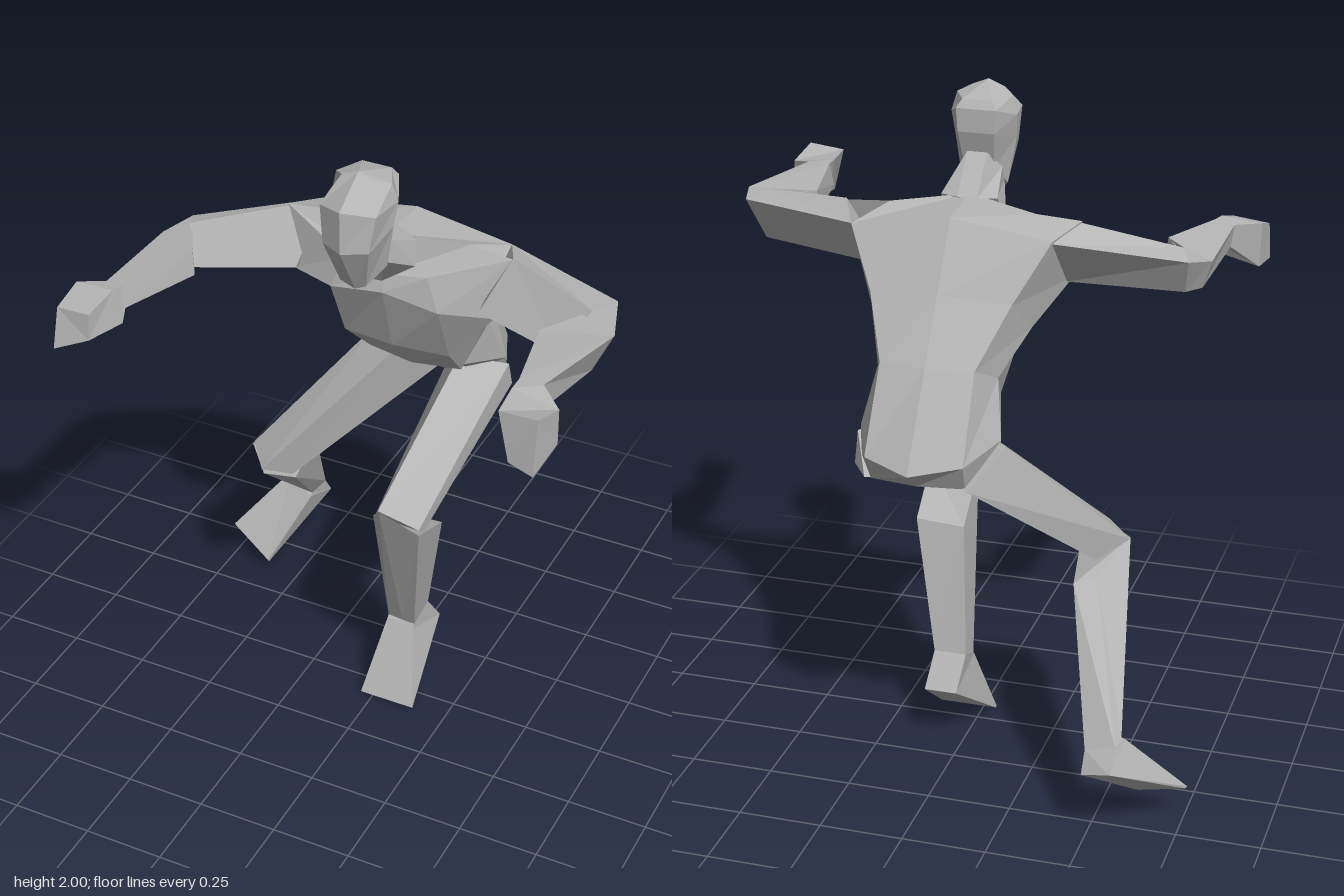
import * as THREE from 'three';

const skin = new THREE.MeshStandardMaterial({ color: 0xb4b4b4, flatShading: true });
skin.name = 'plain grey';

// Skin a closed, faceted body over a list of cross-section rings
function loft(name, rings) {
  const n = rings[0].length;
  const pos = rings.flat(2);
  const idx = [];
  for (let r = 0; r < rings.length - 1; r++) {
    for (let i = 0; i < n; i++) {
      const j = (i + 1) % n, a = r * n + i, b = r * n + j;
      idx.push(a, b, b + n, a, b + n, a + n);
    }
  }
  const last = (rings.length - 1) * n;
  for (let i = 1; i < n - 1; i++) {
    idx.push(0, i + 1, i, last, last + i, last + i + 1);
  }
  // Turn the faces outward if the signed volume is negative
  const p = (i) => new THREE.Vector3().fromArray(pos, idx[i] * 3);
  let volume = 0;
  for (let i = 0; i < idx.length; i += 3) volume += p(i).dot(p(i + 1).cross(p(i + 2)));
  if (volume < 0) idx.reverse();

  let geo = new THREE.BufferGeometry();
  geo.setAttribute('position', new THREE.Float32BufferAttribute(pos, 3));
  geo.setIndex(idx);
  geo = geo.toNonIndexed();
  geo.computeVertexNormals();
  const mesh = new THREE.Mesh(geo, skin);
  mesh.name = name;
  return mesh;
}

// Complete a half ring (front to back) by mirroring it about the body's middle
const MID = 0.03;
const mirrorRing = (half) => [
  ...half.map(([x, y, z]) => [MID + x, y, z]),
  ...half.filter(([x]) => x > 0).reverse().map(([x, y, z]) => [MID - x, y, z]),
];

export function createModel() {
  const model = new THREE.Group();
  model.name = 'crouchingFigure';
  const add = (name, rings) => model.add(loft(name, rings));

  // Torso, from the crotch up to the shoulders
  add('torso', [
    [[0, 1.01, -0.36], [0.11, 1.04, -0.34], [0.2, 1.03, -0.39], [0.14, 1.0, -0.48], [0, 1.0, -0.5]],
    [[0, 1.14, -0.2], [0.12, 1.13, -0.24], [0.21, 1.11, -0.36], [0.145, 1.08, -0.52], [0, 1.06, -0.58]],
    [[0, 1.17, -0.13], [0.15, 1.17, -0.16], [0.18, 1.27, -0.29], [0.14, 1.32, -0.39], [0, 1.32, -0.41]],
    [[0, 1.31, 0], [0.17, 1.3, -0.03], [0.24, 1.38, -0.15], [0.21, 1.48, -0.26], [0, 1.5, -0.29]],
    [[0, 1.53, 0.07], [0.17, 1.5, 0.06], [0.32, 1.49, 0], [0.3, 1.645, -0.16], [0, 1.69, -0.165]],
    [[0, 1.58, 0.05], [0.13, 1.6, 0.045], [0.355, 1.675, -0.04], [0.22, 1.685, -0.045], [0, 1.705, 0.03]],
  ].map(mirrorRing));

  // Neck, leaning forward
  add('neck', [
    [[0, 1.57, 0.07], [0.1, 1.64, 0.06], [0.085, 1.7, 0.02], [0.03, 1.7, 0]],
    [[0, 1.67, 0.22], [0.06, 1.71, 0.18], [0.065, 1.76, 0.14], [0.03, 1.81, 0.1]],
  ].map(mirrorRing));

  // Head, from the chin up to the crown
  add('head', [
    [[0, 1.64, 0.24], [0.04, 1.665, 0.25], [0.07, 1.7, 0.18], [0.045, 1.76, 0.12]],
    [[0, 1.8, 0.33], [0.07, 1.8, 0.295], [0.095, 1.84, 0.19], [0.055, 1.87, 0.085]],
    [[0, 1.93, 0.33], [0.085, 1.91, 0.28], [0.1, 1.91, 0.17], [0.06, 1.94, 0.085]],
    [[0, 2.0, 0.215], [0.05, 1.98, 0.215], [0.085, 1.965, 0.18], [0.045, 1.965, 0.1]],
  ].map(mirrorRing));

  // Arms: shoulder, two elbow rings, wrist
  add('rightArm', [
    [[-0.27, 1.64, -0.165], [-0.32, 1.67, -0.04], [-0.26, 1.52, 0.045], [-0.28, 1.485, -0.03]],
    [[-0.63, 1.57, -0.01], [-0.6, 1.59, 0.06], [-0.55, 1.49, 0.13], [-0.61, 1.46, 0.05]],
    [[-0.68, 1.55, 0.08], [-0.53, 1.58, 0.17], [-0.52, 1.5, 0.18], [-0.65, 1.46, 0.1]],
    [[-0.68, 1.56, 0.4], [-0.62, 1.57, 0.41], [-0.61, 1.5, 0.42], [-0.67, 1.49, 0.4]],
  ]);
  add('leftArm', [
    [[0.33, 1.645, -0.16], [0.385, 1.68, -0.04], [0.32, 1.53, 0.045], [0.34, 1.49, -0.03]],
    [[0.71, 1.64, -0.02], [0.67, 1.65, 0.07], [0.6, 1.52, 0.13], [0.68, 1.5, 0.06]],
    [[0.76, 1.63, 0.13], [0.56, 1.62, 0.18], [0.56, 1.54, 0.18], [0.7, 1.5, 0.13]],
    [[0.68, 1.63, 0.43], [0.61, 1.63, 0.43], [0.6, 1.56, 0.44], [0.67, 1.54, 0.43]],
  ]);

  // Hands: wrist, knuckles, fingertips
  add('rightHand', [
    [[-0.68, 1.56, 0.4], [-0.62, 1.57, 0.41], [-0.61, 1.5, 0.42], [-0.67, 1.49, 0.4]],
    [[-0.755, 1.56, 0.44], [-0.63, 1.57, 0.45], [-0.61, 1.46, 0.44], [-0.75, 1.42, 0.45]],
    [[-0.76, 1.53, 0.54], [-0.65, 1.54, 0.55], [-0.65, 1.46, 0.56], [-0.76, 1.41, 0.575]],
  ]);
  add('leftHand', [
    [[0.68, 1.63, 0.43], [0.61, 1.63, 0.43], [0.6, 1.56, 0.44], [0.67, 1.54, 0.43]],
    [[0.75, 1.61, 0.49], [0.61, 1.63, 0.48], [0.63, 1.52, 0.48], [0.75, 1.5, 0.49]],
    [[0.735, 1.64, 0.6], [0.62, 1.63, 0.59], [0.66, 1.49, 0.61], [0.74, 1.48, 0.63]],
  ]);

  // Thighs: hip to knee
  add('rightThigh', [
    [[-0.2, 1.1, -0.38], [-0.07, 1.12, -0.28], [0.01, 1.0, -0.4], [-0.12, 1.0, -0.5]],
    [[-0.5, 0.73, -0.1], [-0.41, 0.73, 0.02], [-0.35, 0.67, -0.07], [-0.43, 0.67, -0.16]],
  ]);
  add('leftThigh', [
    [[0.25, 1.09, -0.36], [0.12, 1.13, -0.28], [0.02, 1.0, -0.42], [0.19, 1.0, -0.48], [0.25, 1.0, -0.39]],
    [[0.2, 0.8, 0.17], [0.09, 0.87, 0.22], [0.04, 0.78, 0.14], [0.15, 0.76, 0.11], [0.2, 0.77, 0.14]],
  ]);

  // Shins: below the knee to the ankle
  add('rightShin', [
    [[-0.5, 0.73, -0.09], [-0.4, 0.72, 0.025], [-0.34, 0.66, -0.07], [-0.38, 0.655, -0.29], [-0.44, 0.67, -0.25]],
    [[-0.59, 0.31, -0.53], [-0.54, 0.28, -0.49], [-0.5, 0.27, -0.48], [-0.49, 0.27, -0.56], [-0.58, 0.3, -0.57]],
  ]);
  add('leftShin', [
    [[0.2, 0.78, 0.17], [0.09, 0.865, 0.215], [0.04, 0.79, 0.15], [0.03, 0.67, -0.04], [0.18, 0.68, -0.04]],
    [[0.09, 0.24, -0.04], [0.05, 0.25, -0.035], [0.0, 0.25, -0.04], [0.0, 0.28, -0.12], [0.1, 0.28, -0.12]],
  ]);

  // Feet: ankle, heel line, flat toe edge
  add('rightFoot', [
    [[-0.59, 0.31, -0.53], [-0.5, 0.27, -0.48], [-0.49, 0.27, -0.56], [-0.58, 0.3, -0.57]],
    [[-0.6, 0.3, -0.52], [-0.5, 0.26, -0.47], [-0.49, 0.21, -0.6], [-0.58, 0.24, -0.63]],
    [[-0.76, 0.105, -0.4], [-0.6, 0.045, -0.34], [-0.6, 0.035, -0.345], [-0.755, 0.1, -0.405]],
  ]);
  add('leftFoot', [
    [[0.09, 0.25, -0.04], [0.0, 0.25, -0.04], [0.0, 0.28, -0.12], [0.1, 0.28, -0.12]],
    [[0.09, 0.23, -0.03], [0.0, 0.24, -0.03], [0.01, 0.18, -0.19], [0.11, 0.18, -0.19]],
    [[0.14, 0.005, 0.08], [-0.04, 0.005, 0.08], [-0.04, 0, 0.075], [0.14, 0, 0.075]],
  ]);

  return model;
}
